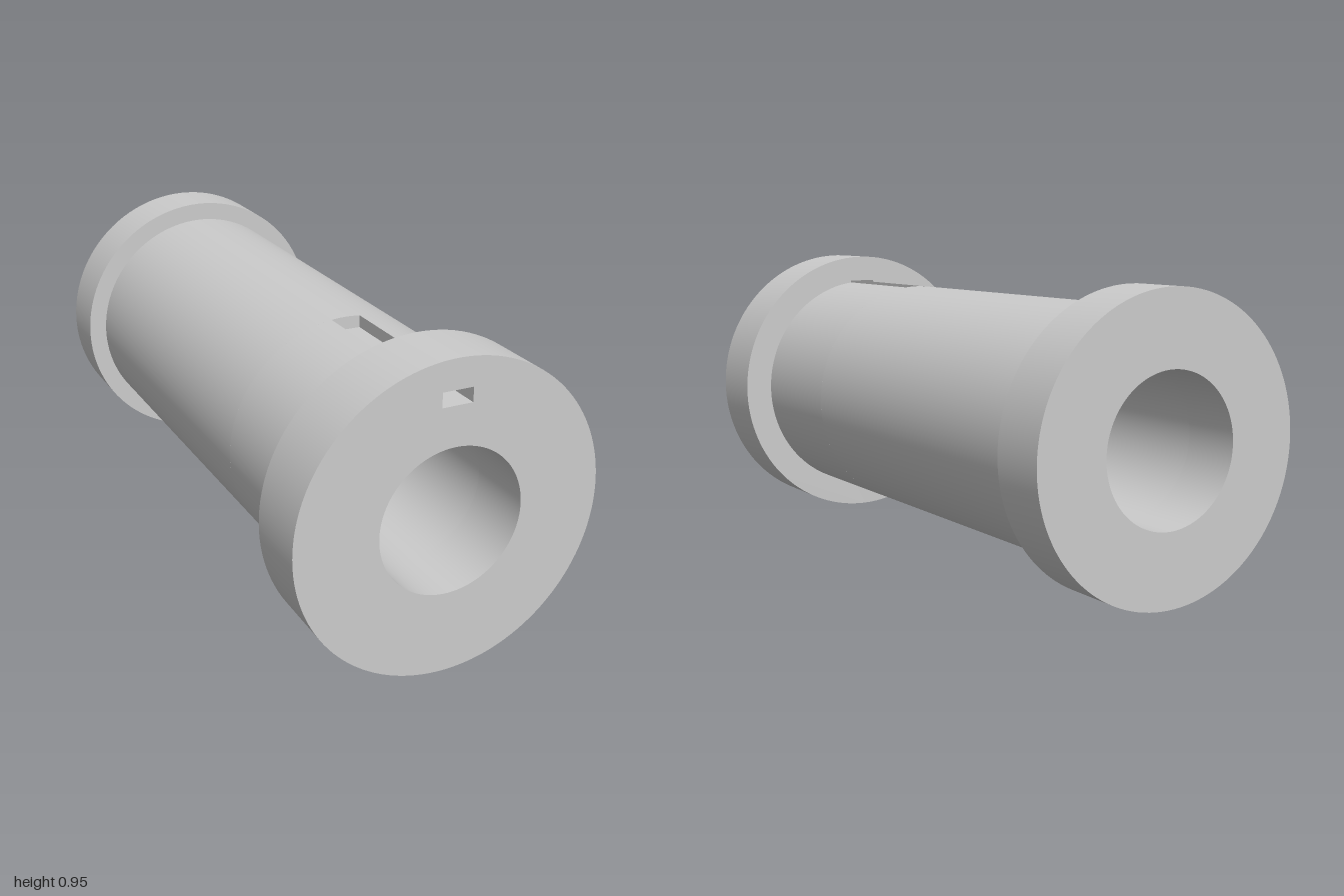
import * as THREE from 'three';
import { toCreasedNormals } from 'three/addons/utils/BufferGeometryUtils.js';

const BORE = 0.222, BODY = 0.382, AXIS_Y = 0.475;
const SLOT = { half: 0.047, bottom: 0.342, top: 0.386 }; // measured from the axis

export function createModel() {
  const group = new THREE.Group();
  const material = new THREE.MeshStandardMaterial({ color: 0xcccccc });

  const disc = (r) => new THREE.Shape().absarc(0, 0, r, 0, Math.PI * 2, false);

  // Extrude an outline, pierced by the bore, from z0 to z1
  function addPart(name, shape, z0, z1) {
    shape.holes.push(new THREE.Path().absarc(0, 0, BORE, 0, Math.PI * 2, true));
    const geometry = new THREE.ExtrudeGeometry(shape, {
      depth: z1 - z0, bevelEnabled: false, curveSegments: 64,
    });
    geometry.translate(0, AXIS_Y, z0);
    const mesh = new THREE.Mesh(toCreasedNormals(geometry, 0.5), material);
    mesh.name = name;
    group.add(mesh);
  }

  // Front flange with the rectangular slot opening
  const front = disc(0.475);
  front.holes.push(new THREE.Path([
    new THREE.Vector2(-SLOT.half, SLOT.bottom),
    new THREE.Vector2(-SLOT.half, SLOT.top),
    new THREE.Vector2(SLOT.half, SLOT.top),
    new THREE.Vector2(SLOT.half, SLOT.bottom),
  ]));
  addPart('frontFlange', front, 0.79, 1);

  // Barrel section with the open keyway along its top
  const a = Math.acos(SLOT.half / BODY);
  const notched = new THREE.Shape();
  notched.moveTo(SLOT.half, SLOT.bottom);
  notched.lineTo(-SLOT.half, SLOT.bottom);
  notched.absarc(0, 0, BODY, Math.PI - a, Math.PI * 2 + a, false);
  notched.closePath();
  addPart('slottedBarrel', notched, 0.37, 0.79);

  // Plain barrel and the smaller back flange
  addPart('barrel', disc(BODY), -0.82, 0.37);
  addPart('backFlange', disc(0.443), -1, -0.82);

  return group;
}
